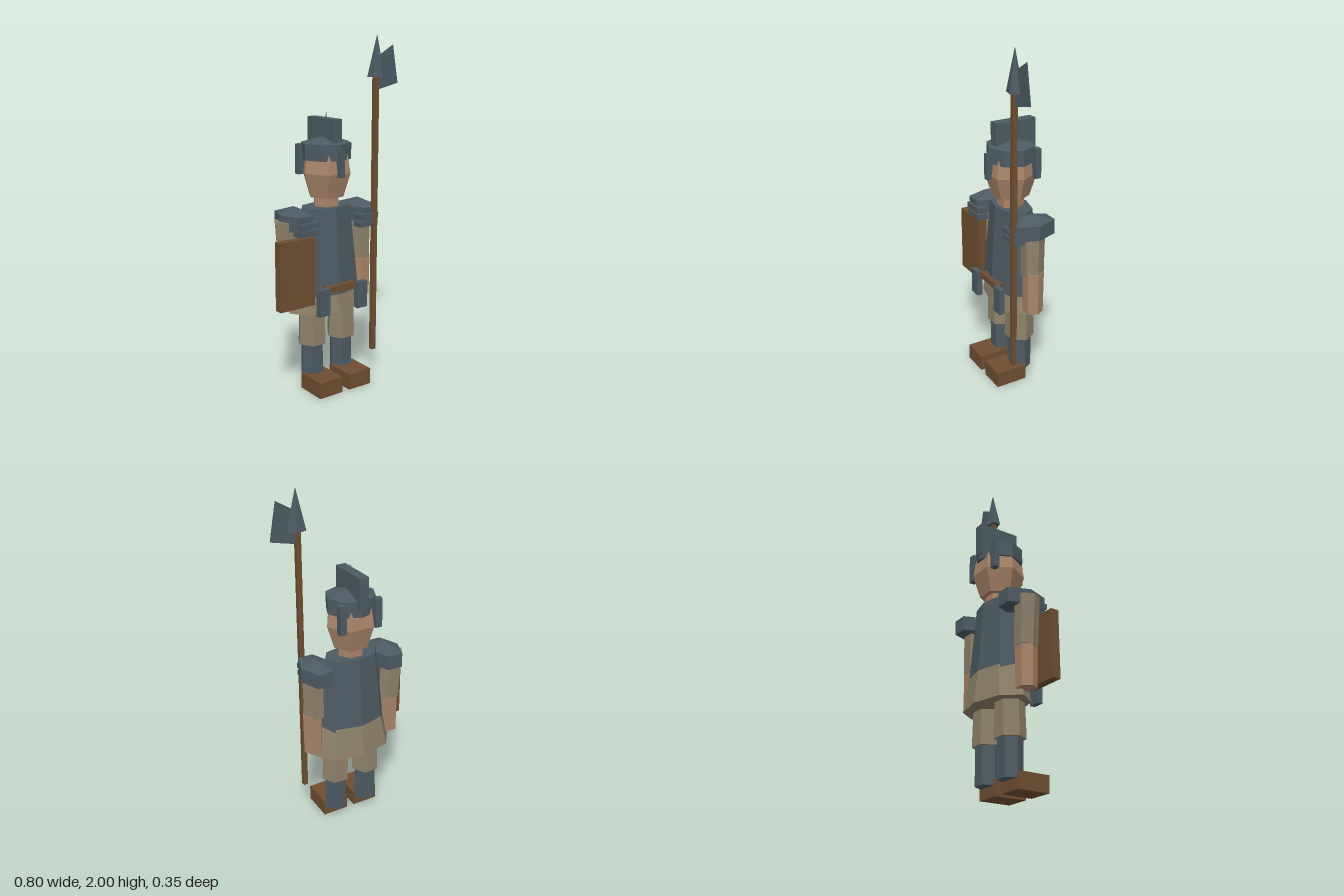
import * as THREE from 'three';

const steel = new THREE.MeshStandardMaterial({ color: 0x4d5a63 });
steel.name = 'steel';
const cloth = new THREE.MeshStandardMaterial({ color: 0x8d816a });
cloth.name = 'cloth';
const skin = new THREE.MeshStandardMaterial({ color: 0xa98469 });
skin.name = 'skin';
const brown = new THREE.MeshStandardMaterial({ color: 0x6f4e32 });
brown.name = 'brown leather and wood';

const CX = -0.01; // middle of the body
const CZ = -0.018;

export function createModel() {
  const model = new THREE.Group();
  model.name = 'guard';

  // Adds a mesh with faceted normals
  function add(name, geometry, material) {
    const geo = geometry.index ? geometry.toNonIndexed() : geometry;
    geo.computeVertexNormals();
    const mesh = new THREE.Mesh(geo, material);
    mesh.name = name;
    model.add(mesh);
    return mesh;
  }

  // Box given by its limits on each axis
  function box(name, material, [x0, x1], [y0, y1], [z0, z1]) {
    const geo = new THREE.BoxGeometry(x1 - x0, y1 - y0, z1 - z0);
    geo.translate((x0 + x1) / 2, (y0 + y1) / 2, (z0 + z1) / 2);
    return add(name, geo, material);
  }

  // Tapered prism from y0 to y1 with a corner on +x; lean shifts its top in x
  function prism(name, material, sides, [x, z], [y0, r0], [y1, r1], depth = 1, lean = 0) {
    const h = y1 - y0;
    const geo = new THREE.CylinderGeometry(r1, r0, h, sides, 1, false, Math.PI / 2);
    geo.scale(1, 1, depth);
    const p = geo.attributes.position;
    for (let i = 0; i < p.count; i++) p.setX(i, p.getX(i) + lean * (p.getY(i) / h + 0.5));
    geo.translate(x, (y0 + y1) / 2, z);
    return add(name, geo, material);
  }

  // Limits mirrored about the middle of the body
  const mirror = (s, a, b) => (s > 0 ? [CX + a, CX + b] : [CX - b, CX - a]);

  // Legs, arms, shoulders and hanging plates on both sides
  for (const s of [-1, 1]) {
    const side = s > 0 ? 'left' : 'right';
    const leg = [CX + s * 0.104, -0.016];
    box(side + 'Boot', brown, mirror(s, 0.025, 0.18), [0, 0.093], [-0.018, 0.173]);
    prism(side + 'Greave', steel, 6, leg, [0.06, 0.068], [0.29, 0.068]);
    prism(side + 'Thigh', cloth, 6, leg, [0.27, 0.086], [0.55, 0.078]);

    const outer = s < 0;
    const arm = outer ? -0.267 : 0.228;
    prism(side + 'UpperArm', cloth, 6, [arm, CZ], [0.73, 0.064], [1.01, 0.068], 1, outer ? -0.018 : 0);
    prism(side + 'Forearm', skin, 6, [outer ? -0.267 : 0.238, CZ], [0.5, 0.057], [0.745, 0.06]);

    // Shoulder guard with its two front straps
    const shoulder = [CX + s * 0.223, CZ];
    prism(side + 'ShoulderRim', steel, 6, shoulder, [0.96, 0.09], [1.045, 0.09], 1.56);
    prism(side + 'ShoulderCap', steel, 6, shoulder, [1.045, 0.09], [1.085, 0.001], 1.56);
    box(side + 'ShoulderStrapUpper', steel, mirror(s, 0.142, 0.27), [0.98, 1.01], [0.05, 0.118]);
    box(side + 'ShoulderStrapLower', steel, mirror(s, 0.142, 0.27), [0.935, 0.965], [0.05, 0.112]);

    box(side + 'HipPlate', steel, mirror(s, 0.096, 0.167), [0.475, 0.63], [0.12, 0.152]);
    box(side + 'NeckGuard', steel, mirror(s, 0.09, 0.131), [1.24, 1.41], [-0.135, -0.1]);
  }

  // Body
  prism('tunicSkirt', cloth, 8, [CX, -0.031], [0.465, 0.25], [0.65, 0.208], 0.575);
  prism('breastplate', steel, 8, [CX, -0.02], [0.57, 0.225], [1.065, 0.165], 0.6);
  box('belt', brown, [-0.107, 0.087], [0.593, 0.63], [0.09, 0.132]);

  // Head
  prism('neck', skin, 6, [CX, CZ], [1.04, 0.076], [1.14, 0.076]);
  prism('jaw', skin, 6, [CX, CZ], [1.12, 0.105], [1.255, 0.147]);
  prism('face', skin, 6, [CX, CZ], [1.255, 0.147], [1.36, 0.13]);

  // Helmet
  prism('helmetBand', steel, 8, [CX, CZ], [1.33, 0.143], [1.42, 0.143], 0.96);
  prism('helmetDome', steel, 8, [CX, CZ], [1.42, 0.143], [1.462, 0.001], 0.96);
  prism('helmetSpike', steel, 6, [CX, CZ], [1.45, 0.016], [1.587, 0.001]);
  box('helmetCrest', steel, [-0.039, 0.019], [1.36, 1.555], [-0.158, 0.09]);
  box('noseGuard', steel, [-0.026, 0.001], [1.24, 1.387], [0.1, 0.14]);

  // Shield
  box('shield', brown, [-0.4, -0.172], [0.535, 0.922], [0.052, 0.1]);

  // Polearm
  box('polearmShaft', brown, [0.223, 0.251], [0.18, 1.8], [0.094, 0.121]);
  prism('polearmPoint', steel, 5, [0.243, 0.107], [1.775, 0.058], [2, 0.001], 0.7);
  const blade = new THREE.Shape([
    new THREE.Vector2(0.25, 1.885), new THREE.Vector2(0.25, 1.705),
    new THREE.Vector2(0.395, 1.737), new THREE.Vector2(0.357, 1.947),
  ]);
  const bladeGeo = new THREE.ExtrudeGeometry(blade, { depth: 0.004, bevelEnabled: false });
  add('polearmBlade', bladeGeo.translate(0, 0, 0.105), steel);

  return model;
}
